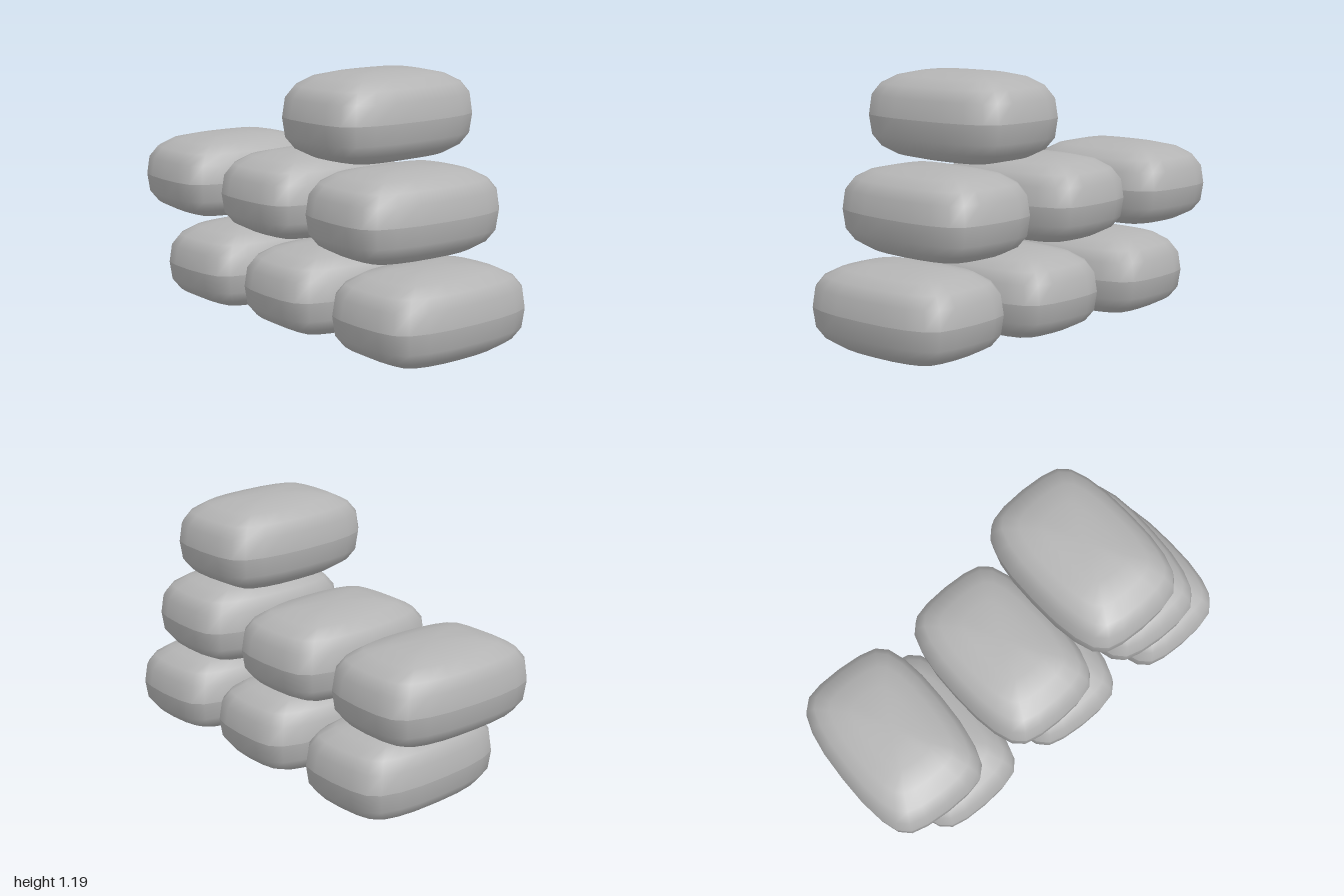
import * as THREE from 'three';

// One quarter of the bag's plan outline, as fractions of its half width and half depth
const QUARTER = [[1, 0], [0.985, 0.35], [0.93, 0.62], [0.83, 0.83], [0.67, 0.94], [0.4, 0.985], [0, 1]];

// Levels from the seam up to the crown: height, half width, half depth
const LEVELS = [
  [0, 0.283, 0.402],
  [0.085, 0.274, 0.39],
  [0.135, 0.243, 0.352],
  [0.172, 0.19, 0.28],
  [0.191, 0.11, 0.19],
  [0.197, 0.045, 0.08],
];

function planOutline() {
  const rising = QUARTER.slice(0, -1);
  const falling = QUARTER.slice(1).reverse();
  return [
    ...rising,
    ...falling.map(([x, z]) => [-x, z]),
    ...rising.map(([x, z]) => [-x, -z]),
    ...falling.map(([x, z]) => [x, -z]),
  ];
}

// Domed half of a pillow, open at the seam so that the seam stays a crisp line
function halfBagGeometry() {
  const outline = planOutline();
  const n = outline.length;
  const positions = [];
  const index = [];
  for (const [y, w, d] of LEVELS) {
    for (const [x, z] of outline) positions.push(x * w, y, z * d);
  }
  const crown = positions.length / 3;
  positions.push(0, 0.197, 0);
  for (let r = 0; r < LEVELS.length; r++) {
    for (let i = 0; i < n; i++) {
      const a = r * n + i;
      const b = r * n + (i + 1) % n;
      if (r === LEVELS.length - 1) index.push(a, crown, b);
      else index.push(a, a + n, b, b, a + n, b + n);
    }
  }
  const geometry = new THREE.BufferGeometry();
  geometry.setAttribute('position', new THREE.Float32BufferAttribute(positions, 3));
  geometry.setIndex(index);
  geometry.computeVertexNormals();
  return geometry;
}

export function createModel() {
  const model = new THREE.Group();
  model.name = 'sandbagStack';
  const cloth = new THREE.MeshStandardMaterial({ color: 0xb4b4b4 });
  cloth.name = 'grey cloth';

  const upper = halfBagGeometry();
  const lower = upper.clone().rotateX(Math.PI);

  // Staggered rows: x, y and a slight turn for each bag
  const bags = [
    [-0.532, 0.197, 0.03], [0.09, 0.197, -0.025], [0.71, 0.197, 0.02],
    [-0.712, 0.597, -0.025], [-0.087, 0.597, 0.025], [0.538, 0.597, -0.03],
    [0.37, 0.995, 0.025],
  ];
  bags.forEach(([x, y, turn], i) => {
    const bag = new THREE.Group();
    bag.name = `sandbag${i + 1}`;
    for (const [name, geometry] of [['bagTop', upper], ['bagBottom', lower]]) {
      const half = new THREE.Mesh(geometry, cloth);
      half.name = name;
      bag.add(half);
    }
    bag.position.set(x, y, 0);
    bag.rotation.y = turn;
    model.add(bag);
  });
  return model;
}
